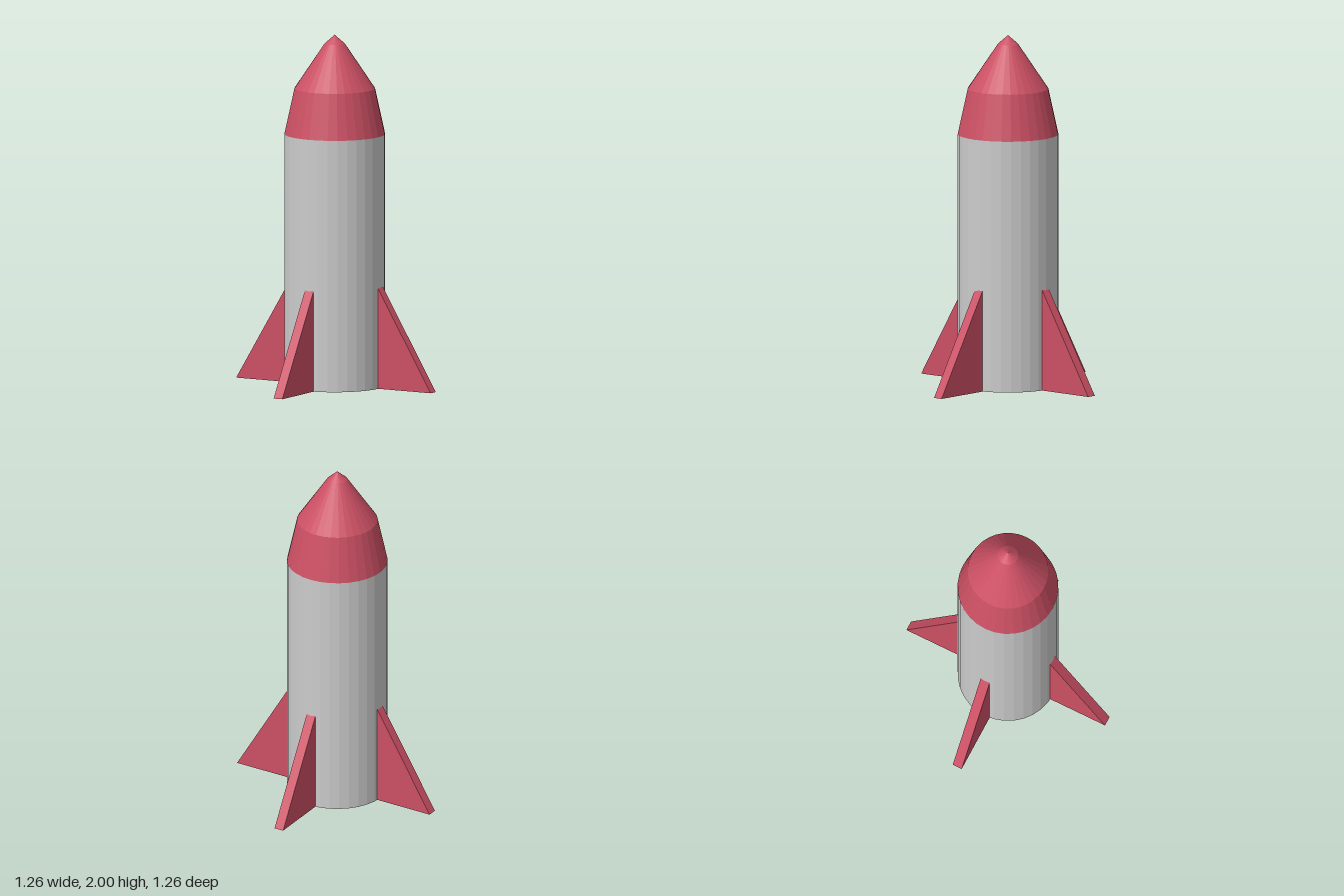
import * as THREE from 'three';

const SIDES = 32;
const RADIUS = 0.285;
const BODY_TOP = 1.435;

export function createModel() {
  const rocket = new THREE.Group();
  rocket.name = 'rocket';
  const grey = new THREE.MeshStandardMaterial({ color: 0xcccccc, flatShading: true });
  const red = new THREE.MeshStandardMaterial({ color: 0xcc5064, flatShading: true });

  const add = (name, geometry, material) => {
    const mesh = new THREE.Mesh(geometry, material);
    mesh.name = name;
    rocket.add(mesh);
    return mesh;
  };

  // Straight body with a closed base
  const body = new THREE.CylinderGeometry(RADIUS, RADIUS, BODY_TOP, SIDES);
  body.translate(0, BODY_TOP / 2, 0);
  add('body', body, grey);

  // Nose cone in three tapering steps
  const profile = [[RADIUS, BODY_TOP], [0.228, 1.695], [0.057, 1.95], [0, 2]]
    .map(([r, y]) => new THREE.Vector2(r, y));
  add('noseCone', new THREE.LatheGeometry(profile, SIDES), red);

  // Triangular fins on four sides; the left one sits slightly towards the back
  const thickness = 0.057;
  const outline = new THREE.Shape([
    new THREE.Vector2(0.282, 0),
    new THREE.Vector2(0.63, 0),
    new THREE.Vector2(0.282, 0.575),
  ]);
  const finGeometry = new THREE.ExtrudeGeometry(outline, { depth: thickness, bevelEnabled: false });
  finGeometry.translate(0, 0, -thickness / 2);

  ['leftFin', 'backFin', 'rightFin', 'frontFin'].forEach((name, i) => {
    const fin = add(name, finGeometry, red);
    fin.rotation.y = i * Math.PI / 2;
    if (name === 'leftFin') fin.position.z = -thickness / 2;
  });

  return rocket;
}
